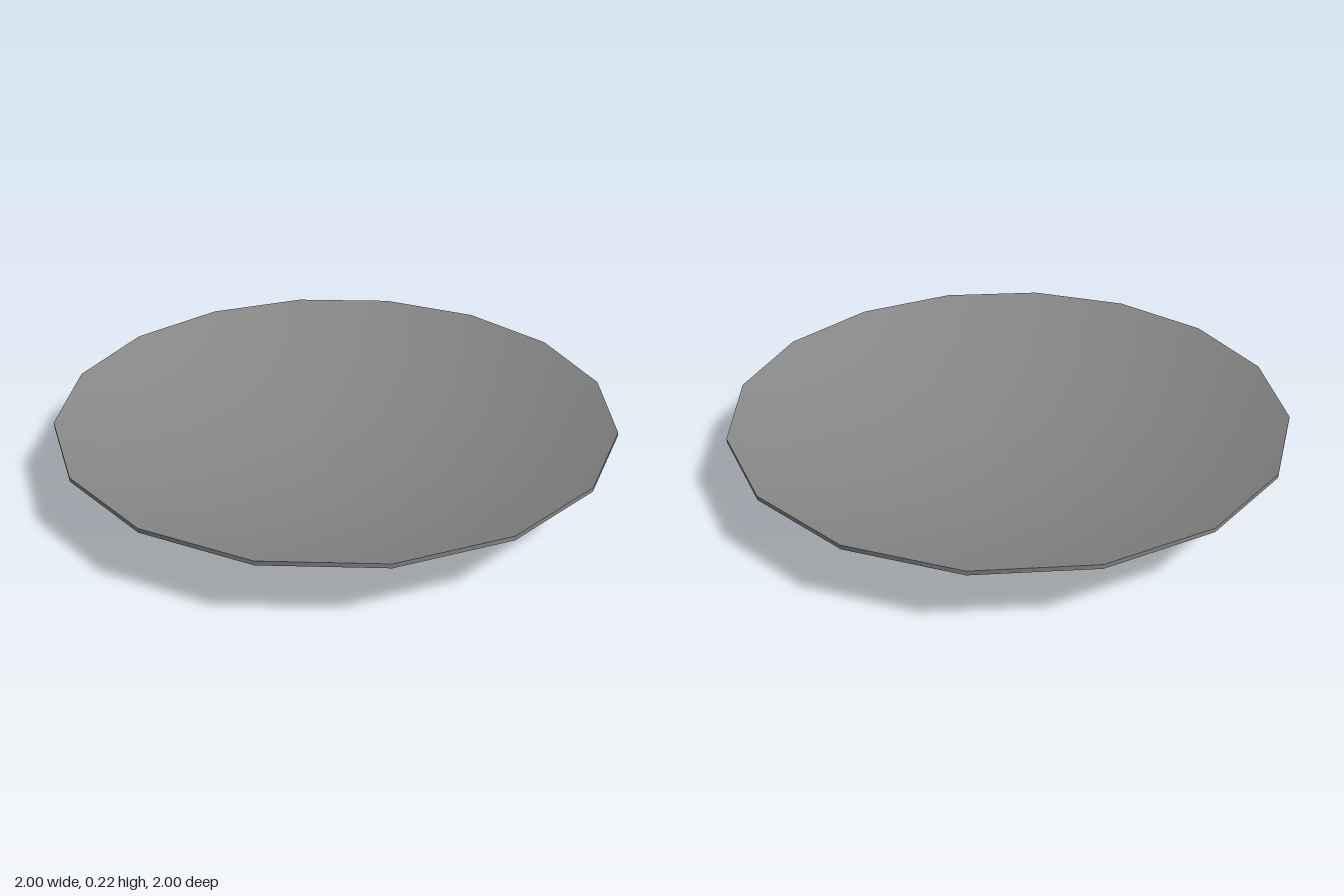
import * as THREE from 'three';

const SIDES = 16;
const material = new THREE.MeshStandardMaterial({ color: 0x878787 });

// Spins a [radius, height] profile around y; separate profiles keep sharp edges between them
function lathe(name, profile) {
  const points = profile.map(([r, y]) => new THREE.Vector2(r, y));
  const mesh = new THREE.Mesh(new THREE.LatheGeometry(points, SIDES), material);
  mesh.name = name;
  return mesh;
}

export function createModel() {
  const model = new THREE.Group();
  model.name = 'shallowDish';

  // Shallow dome-shaped underside, and the same curve raised for the top
  const under = [[0, 0.02], [0.2, 0.027], [0.39, 0.048], [0.59, 0.083], [0.81, 0.138], [1, 0.208]];
  const upper = under.map(([r, y]) => [r, y + 0.015]).reverse();
  model.add(lathe('dishUnderside', under));
  model.add(lathe('dishTop', upper));

  // Thin upright rim
  model.add(lathe('rim', [[1, 0.208], [1, 0.223]]));

  // Foot ring: smooth walls with a flat base between them
  const foot = new THREE.Group();
  foot.name = 'footRing';
  foot.add(lathe('footInnerWall', [[0.305, 0.04], [0.305, 0]]));
  foot.add(lathe('footBase', [[0.305, 0], [0.365, 0]]));
  foot.add(lathe('footOuterWall', [[0.365, 0], [0.365, 0.048]]));
  model.add(foot);

  return model;
}
